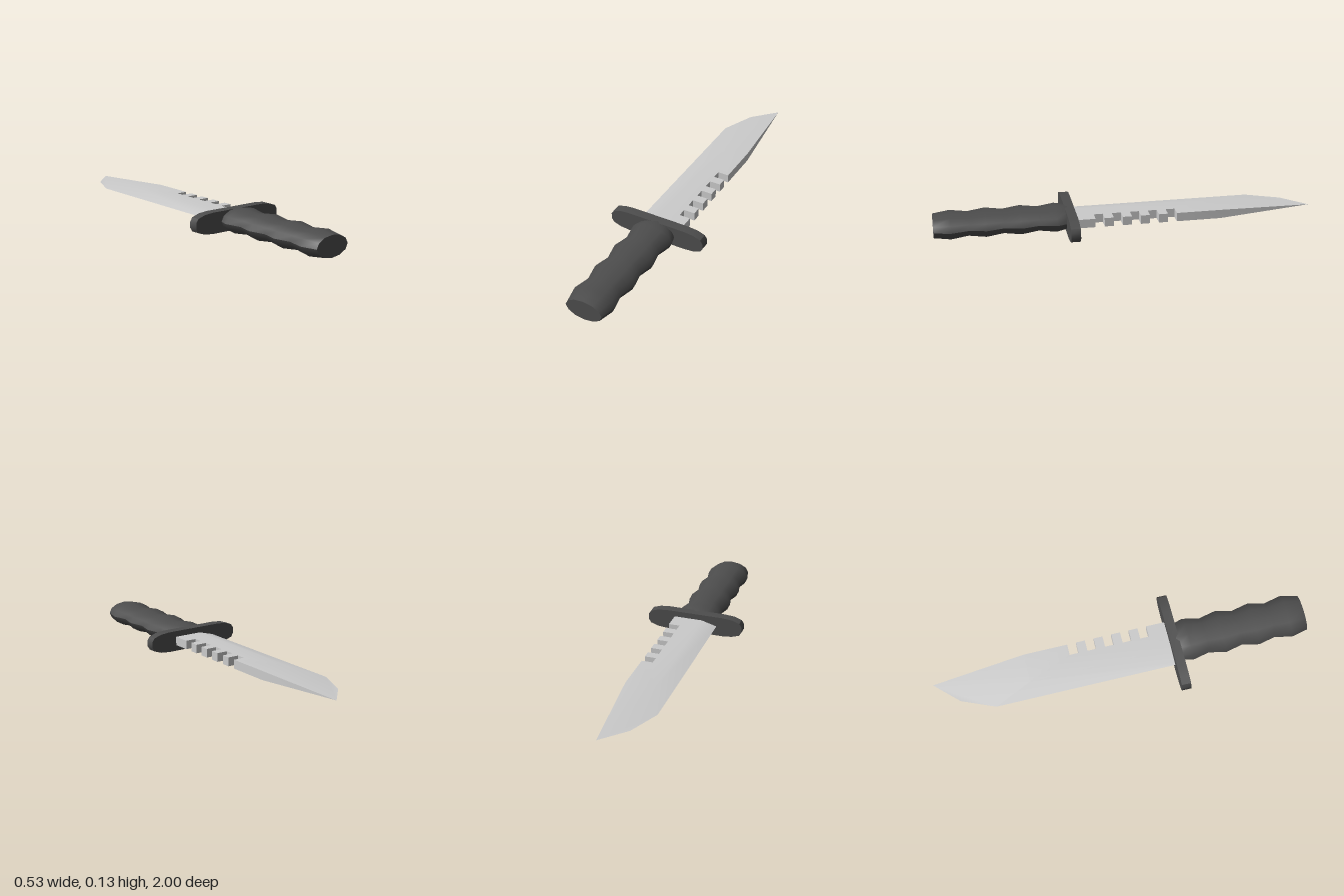
import * as THREE from 'three';
import { toCreasedNormals } from 'three/addons/utils/BufferGeometryUtils.js';

const MID_Y = 0.067;
const HALF_THICK = 0.0235;

// Blade: flat body with a toothed spine, a bevel to the cutting edge, a tapering point
function bladeGeometry() {
  // corners are [x, z, half thickness]
  const p = (x, z, t = HALF_THICK) => [x, z, t];
  const tip = p(0.07, -1, 0);
  const bevelBack = p(-0.04, 0.29), bevelFront = p(-0.04, -0.5);
  const spine = [p(0.115, 0.29)];
  for (let i = 4; i >= 0; i--) {
    const z = -0.265 + i * 0.096;
    spine.push(p(0.115, z + 0.048), p(0.055, z + 0.048), p(0.055, z), p(0.115, z));
  }
  const shoulder = p(0.115, -0.5);
  spine.push(shoulder);

  const faces = [
    [bevelBack, ...spine, bevelFront],
    [bevelFront, shoulder, tip],
    [bevelBack, bevelFront, p(-0.125, -0.7, 0), p(-0.125, 0.29, 0)],
    [bevelFront, tip, p(-0.05, -0.875, 0), p(-0.125, -0.7, 0)],
  ];

  const pos = [];
  const put = (c, side) => pos.push(c[0], MID_Y + side * c[2], c[1]);
  for (const face of faces) {
    const flat = face.map(c => new THREE.Vector2(c[0], c[1]));
    for (const tri of THREE.ShapeUtils.triangulateShape(flat, [])) {
      let [a, b, c] = tri.map(i => face[i]);
      const cross = (b[0] - a[0]) * (c[1] - a[1]) - (b[1] - a[1]) * (c[0] - a[0]);
      if (cross > 0) [b, c] = [c, b];
      [a, b, c].forEach(v => put(v, 1));
      [a, c, b].forEach(v => put(v, -1));
    }
  }
  // walls along the spine
  const wall = [...spine, tip];
  for (let i = 0; i < wall.length - 1; i++) {
    const a = wall[i], b = wall[i + 1];
    put(a, -1); put(b, -1); put(a, 1);
    if (b !== tip) { put(b, -1); put(b, 1); put(a, 1); }
  }
  const geo = new THREE.BufferGeometry();
  geo.setAttribute('position', new THREE.Float32BufferAttribute(pos, 3));
  return toCreasedNormals(geo, 0.5);
}

// Guard: long plate with rounded ends
function guardGeometry() {
  const quarter = [[0.267, 0.015], [0.254, 0.036], [0.213, 0.05], [0.16, 0.055]];
  const back = [...quarter].reverse();
  const outline = [
    ...quarter,
    ...back.map(([x, y]) => [-x, y]),
    ...quarter.map(([x, y]) => [-x, -y]),
    ...back.map(([x, y]) => [x, -y]),
  ].map(([x, y]) => new THREE.Vector2(x, y));
  const geo = new THREE.ExtrudeGeometry(new THREE.Shape(outline), { depth: 0.05, bevelEnabled: false });
  geo.translate(0, MID_Y, 0.265);
  return toCreasedNormals(geo, 0.6);
}

// Handle: oval grip with four swells and a flat end
function handleGeometry() {
  const profile = [new THREE.Vector2(0.1, 0.3)];
  for (let i = 0; i < 4; i++) {
    const z = 0.365 + i * 0.182;
    profile.push(new THREE.Vector2(0.12, z), new THREE.Vector2(0.1, Math.min(z + 0.091, 1)));
  }
  profile[profile.length - 1].y = 1;
  profile.push(new THREE.Vector2(0, 1));
  const geo = new THREE.LatheGeometry(profile, 12);
  geo.rotateX(Math.PI / 2);
  geo.scale(1, 0.555, 1);
  geo.translate(0, MID_Y, 0);
  return toCreasedNormals(geo, 0.75);
}

export function createModel() {
  const group = new THREE.Group();
  group.name = 'knife';
  const steel = new THREE.MeshStandardMaterial({ color: 0xcccccc });
  const dark = new THREE.MeshStandardMaterial({ color: 0x4d4d4d });
  const add = (name, geometry, material) => {
    const mesh = new THREE.Mesh(geometry, material);
    mesh.name = name;
    group.add(mesh);
  };
  add('blade', bladeGeometry(), steel);
  add('guard', guardGeometry(), dark);
  add('handle', handleGeometry(), dark);
  return group;
}
